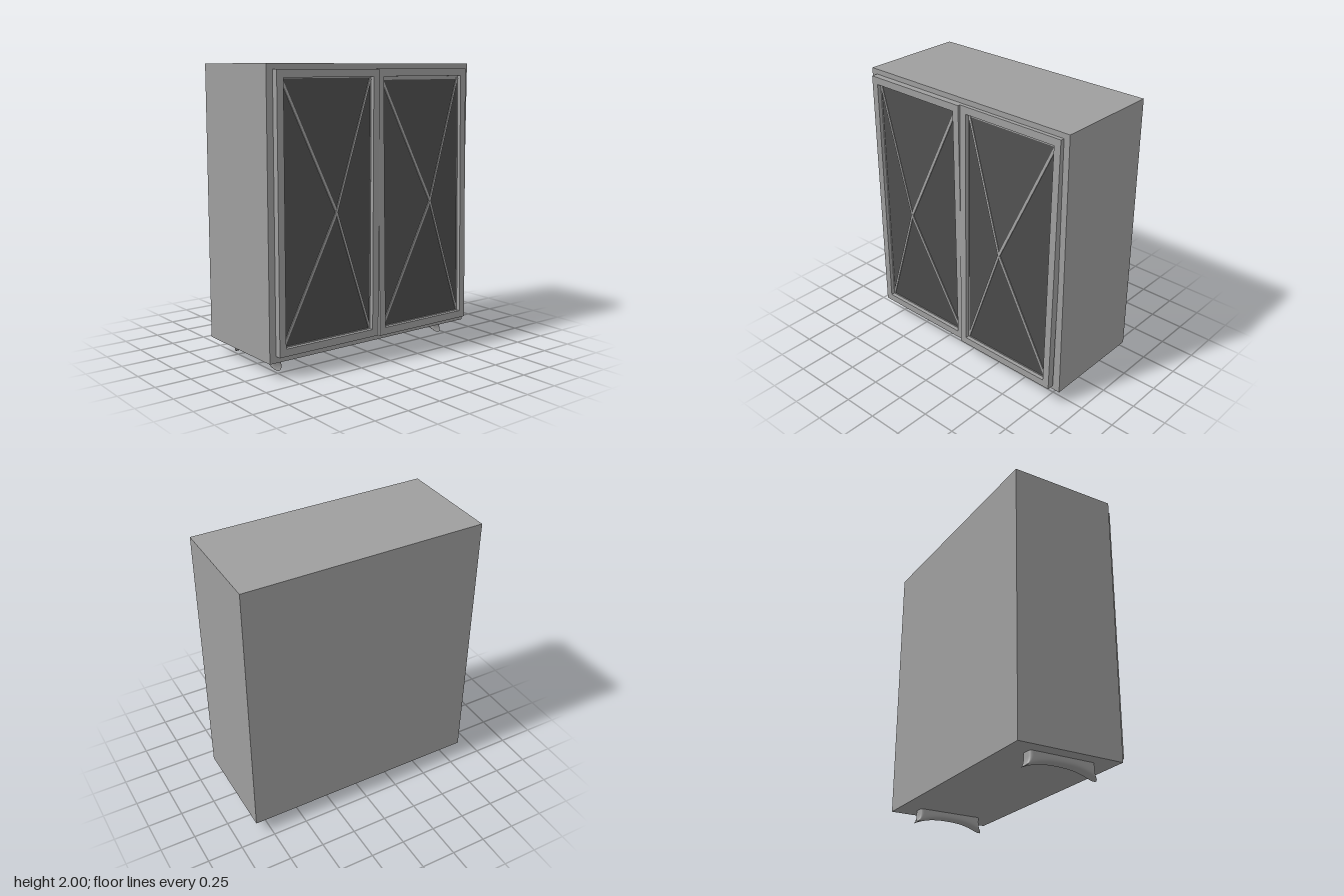
import * as THREE from 'three';

const grey = new THREE.MeshStandardMaterial({ color: 0x9e9e9e });
const footGrey = new THREE.MeshStandardMaterial({ color: 0x9e9e9e, side: THREE.DoubleSide });
const dark = new THREE.MeshStandardMaterial({ color: 0x4d4d4d, flatShading: true, side: THREE.DoubleSide });

function add(parent, name, geometry, material = grey) {
  const mesh = new THREE.Mesh(geometry, material);
  mesh.name = name;
  parent.add(mesh);
  return mesh;
}

function rect(path, w, h) {
  return path.moveTo(-w, -h).lineTo(w, -h).lineTo(w, h).lineTo(-w, h).closePath();
}

// Rectangular ring with outer and inner half sizes
function ring(w, h, iw, ih, depth) {
  const shape = rect(new THREE.Shape(), w, h);
  shape.holes.push(rect(new THREE.Path(), iw, ih));
  return new THREE.ExtrudeGeometry(shape, { depth, bevelEnabled: false });
}

// Framed door with a shallow pyramid panel and ribs along its edges
function makeDoor(name) {
  const door = new THREE.Group();
  door.name = name;
  const w = 0.356, h = 0.859, baseZ = 0.013, apexZ = 0.109, border = 0.006;

  add(door, 'doorFrame', ring(0.405, 0.9095, w, h, 0.05)).position.z = -0.004;
  add(door, 'panelBorder', ring(w, h, w - border, h - border, 0.012)).position.z = 0.006;

  const pyramid = new THREE.ConeGeometry(Math.SQRT2, 1, 4, 1, true);
  pyramid.rotateY(Math.PI / 4).rotateX(Math.PI / 2);
  pyramid.scale(w, h, apexZ - baseZ);
  add(door, 'pyramidPanel', pyramid, dark).position.z = (apexZ + baseZ) / 2;

  const apex = new THREE.Vector3(0, 0, apexZ);
  for (const sx of [-1, 1]) for (const sy of [-1, 1]) {
    const corner = new THREE.Vector3(sx * w, sy * h, baseZ);
    const rib = add(door, 'panelRib', new THREE.BoxGeometry(0.017, 0.008, apex.distanceTo(corner)));
    rib.position.copy(apex).add(corner).multiplyScalar(0.5);
    rib.up.set(0, 0, 1);
    rib.lookAt(corner);
  }
  return door;
}

// Arched runner foot: rounded U sections swept from front to back
function footGeometry() {
  const stations = 60, around = 24, half = 0.237, r = 0.046, top = 0.102;
  const pos = [], index = [];
  for (let i = 0; i <= stations; i++) {
    const u = -Math.cos((i / stations) * Math.PI);
    const past = Math.max(0, Math.abs(u) * half - (half - r));
    const width = r * Math.max(0, 1 - (past / r) ** 4) ** 0.25;
    const bottom = 0.055 * (1 - Math.abs(u) ** 2.5);
    for (let j = 0; j <= around; j++) {
      const a = (j / around) * Math.PI;
      const c = Math.cos(a);
      const drop = Math.sqrt(Math.max(0, Math.sin(a)));
      pos.push(
        width * Math.sign(c) * Math.sqrt(Math.abs(c)),
        top - drop * (top - bottom),
        u * (half + 0.029 * drop ** 4)
      );
      if (i < stations && j < around) {
        const p = i * (around + 1) + j, q = p + around + 1;
        index.push(p, p + 1, q, p + 1, q + 1, q);
      }
    }
  }
  const geometry = new THREE.BufferGeometry();
  geometry.setAttribute('position', new THREE.Float32BufferAttribute(pos, 3));
  geometry.setIndex(index);
  geometry.computeVertexNormals();
  return geometry;
}

export function createModel() {
  const model = new THREE.Group();
  model.name = 'cabinet';

  // Main box
  add(model, 'cabinetBody', new THREE.BoxGeometry(1.71, 1.9, 0.755)).position.set(0, 1.05, -0.0565);

  // Doors; the left one leans back slightly
  for (const side of [-1, 1]) {
    const door = makeDoor(side > 0 ? 'leftDoor' : 'rightDoor');
    door.position.set(side * 0.405 + 0.002, 1.0545, 0.321);
    if (side > 0) {
      door.position.z += 0.002;
      door.rotation.x = -0.021;
    }
    model.add(door);
  }

  // Runner feet
  const foot = footGeometry();
  for (const side of [-1, 1]) {
    add(model, side > 0 ? 'leftFoot' : 'rightFoot', foot, footGrey).position.set(side * 0.717 + 0.002, 0, -0.053);
  }
  return model;
}
